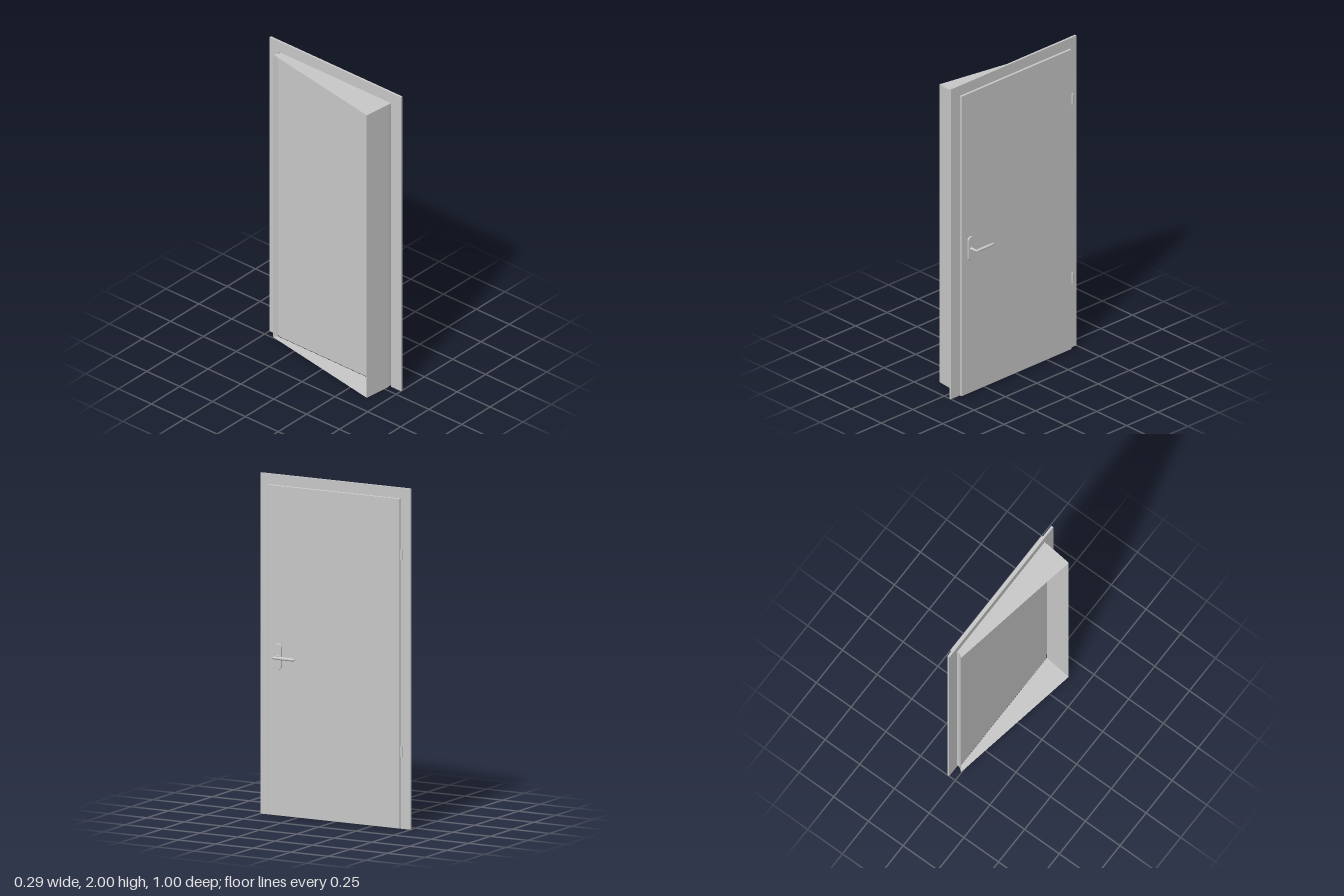
import * as THREE from 'three';
import { RoundedBoxGeometry } from 'three/addons/geometries/RoundedBoxGeometry.js';

export function createModel() {
  const model = new THREE.Group();
  const grey = new THREE.MeshStandardMaterial({ color: 0xc8c8c8, side: THREE.DoubleSide });
  grey.name = 'lightGrey';

  const add = (name, geometry, parent = model) => {
    const mesh = new THREE.Mesh(geometry, grey);
    mesh.name = name;
    parent.add(mesh);
    return mesh;
  };
  // Box given by its limits, with slightly rounded edges
  const slab = (name, [x0, x1], [y0, y1], [z0, z1], radius, parent) => {
    const box = add(name, new RoundedBoxGeometry(x1 - x0, y1 - y0, z1 - z0, 2, radius), parent);
    box.position.set((x0 + x1) / 2, (y0 + y1) / 2, (z0 + z1) / 2);
    return box;
  };

  // Frame: flat surround, open at the bottom
  const frameShape = new THREE.Shape([
    [-0.5, 0], [-0.426, 0], [-0.426, 1.93], [0.426, 1.93], [0.426, 0], [0.5, 0], [0.5, 2], [-0.5, 2],
  ].map(([a, b]) => new THREE.Vector2(a, b)));
  const frame = add('frame', new THREE.ExtrudeGeometry(frameShape, { depth: 0.014, bevelEnabled: false }));
  frame.rotation.y = Math.PI / 2;
  frame.position.x = 0.043;

  // Leaf: overlapping front panel on a narrower body
  const leaf = new THREE.Group();
  leaf.name = 'leaf';
  model.add(leaf);
  slab('leafPanel', [0.064, 0.079], [0.004, 1.94], [-0.44, 0.436], 0.002, leaf);
  slab('leafBody', [0.028, 0.066], [0.004, 1.925], [-0.421, 0.418], 0.002, leaf);

  // Recess behind the leaf: floor, ceiling and two side walls, open at the back
  const recess = new THREE.Group();
  recess.name = 'recess';
  model.add(recess);
  const [low, high] = [0.003, 1.926];
  const plan = [[0.028, -0.421], [0.003, -0.44], [-0.143, 0.4], [0.028, 0.418]];
  const planShape = new THREE.Shape(plan.map(([x, z]) => new THREE.Vector2(x, z)));
  for (const [name, y] of [['recessFloor', low], ['recessCeiling', high]]) {
    const sheet = add(name, new THREE.ShapeGeometry(planShape), recess);
    sheet.rotation.x = Math.PI / 2;
    sheet.position.y = y;
  }
  for (const [name, a, b] of [['hingeSideWall', plan[0], plan[1]], ['lockSideWall', plan[2], plan[3]]]) {
    const dx = b[0] - a[0], dz = b[1] - a[1];
    const wall = add(name, new THREE.PlaneGeometry(Math.hypot(dx, dz), high - low), recess);
    wall.position.set((a[0] + b[0]) / 2, (low + high) / 2, (a[1] + b[1]) / 2);
    wall.rotation.y = -Math.atan2(dz, dx);
  }

  // Hinges on the frame
  for (const y of [0.458, 1.612]) {
    const hinge = new THREE.Group();
    hinge.name = 'hinge';
    hinge.position.set(0.072, y, -0.452);
    model.add(hinge);
    add('hingePin', new THREE.CylinderGeometry(0.0065, 0.0065, 0.064, 20), hinge);
    const plate = add('hingePlate', new THREE.BoxGeometry(0.004, 0.06, 0.016), hinge);
    plate.position.set(0, 0, 0.007);
  }

  // Handle: rounded backplate, neck and lever
  const handle = new THREE.Group();
  handle.name = 'handle';
  handle.position.set(0.078, 0.938, 0.367);
  model.add(handle);

  const r = 0.021, half = 0.054;
  const plateShape = new THREE.Shape();
  plateShape.absarc(0, half, r, 0, Math.PI);
  plateShape.absarc(0, -half, r, Math.PI, Math.PI * 2);
  plateShape.closePath();
  const backplate = add('backplate', new THREE.ExtrudeGeometry(plateShape, {
    depth: 0.007, bevelThickness: 0.003, bevelSize: 0.003, bevelOffset: -0.001, bevelSegments: 3, curveSegments: 16,
  }), handle);
  backplate.rotation.y = Math.PI / 2;

  const collar = add('collar', new THREE.CylinderGeometry(0.009, 0.012, 0.008, 24), handle);
  collar.rotation.z = -Math.PI / 2;
  collar.position.x = 0.012;
  const neck = add('neck', new THREE.CylinderGeometry(0.0075, 0.0075, 0.05, 24), handle);
  neck.rotation.z = -Math.PI / 2;
  neck.position.x = 0.035;

  // Lever swells slightly along its length
  const profile = [[0, 0], [0.007, 0], [0.0085, 0.03], [0.0095, 0.075], [0.009, 0.115], [0.0075, 0.142], [0, 0.144]];
  const lever = add('lever', new THREE.LatheGeometry(profile.map(([a, b]) => new THREE.Vector2(a, b)), 24), handle);
  lever.rotation.x = -Math.PI / 2;
  lever.position.set(0.0545, 0, 0.0075);

  return model;
}
